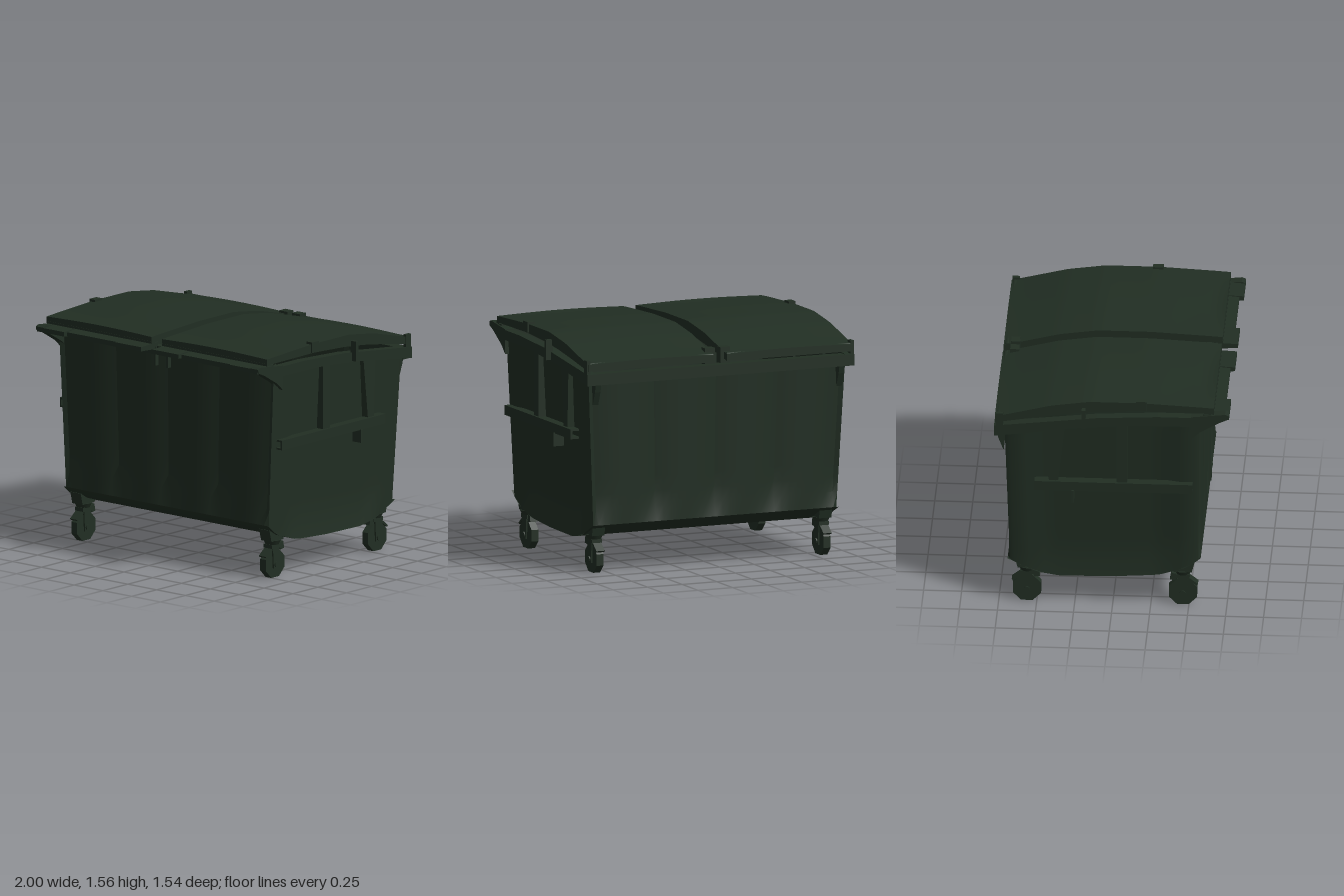
import * as THREE from 'three';
import { toCreasedNormals } from 'three/addons/utils/BufferGeometryUtils.js';

const green = new THREE.MeshStandardMaterial({ color: 0x212e23, side: THREE.DoubleSide });
green.name = 'dark green';

function add(parent, name, geo, x = 0, y = 0, z = 0) {
  const m = new THREE.Mesh(geo, green);
  m.name = name;
  m.position.set(x, y, z);
  parent.add(m);
  return m;
}

// Box given by its extents
function box(parent, name, x0, x1, y0, y1, z0, z1) {
  return add(parent, name, new THREE.BoxGeometry(Math.abs(x1 - x0), y1 - y0, Math.abs(z1 - z0)),
    (x0 + x1) / 2, (y0 + y1) / 2, (z0 + z1) / 2);
}

// Side outline of [z, y] points, extruded from x0 to x1
function slab(parent, name, pts, x0, x1) {
  const shape = new THREE.Shape(pts.map(([z, y]) => new THREE.Vector2(-z, y)));
  const geo = new THREE.ExtrudeGeometry(shape, { depth: Math.abs(x1 - x0), bevelEnabled: false });
  geo.rotateY(Math.PI / 2);
  return add(parent, name, geo, Math.min(x0, x1), 0, 0);
}

// Surface from a rule (u, v) -> [x, y, z]
function sheet(fn, nu, nv, crease = 0.5) {
  const geo = new THREE.PlaneGeometry(1, 1, nu, nv);
  const p = geo.attributes.position, uv = geo.attributes.uv;
  for (let i = 0; i < p.count; i++) p.setXYZ(i, ...fn(uv.getX(i), uv.getY(i)));
  return toCreasedNormals(geo, crease);
}

// Piecewise linear lookup; table sorted by falling z
function lookup(table, z) {
  for (let i = 1; i < table.length; i++) {
    const [za, ya] = table[i - 1], [zb, yb] = table[i];
    if (z >= zb) return ya + (yb - ya) * Math.max(0, (za - z) / (za - zb));
  }
  return table[table.length - 1][1];
}

const floorLine = [[0.58, 0.37], [0.5, 0.3], [0.3, 0.235], [0, 0.215], [-0.35, 0.21], [-0.5, 0.235], [-0.69, 0.33]];
const rimTop = [[0.62, 1.45], [0.3, 1.45], [-0.1, 1.43], [-0.5, 1.385], [-0.775, 1.355]];
const rimLow = [[0.62, 1.385], [0.1, 1.38], [-0.3, 1.345], [-0.6, 1.3], [-0.775, 1.28]];
const lidTop = [[0.67, 1.52], [0.6, 1.525], [0.2, 1.545], [-0.15, 1.545], [-0.4, 1.51], [-0.6, 1.46], [-0.7, 1.435], [-0.77, 1.42]];
const lidLow = [[0.67, 1.48], [0.2, 1.485], [-0.1, 1.47], [-0.3, 1.45], [-0.5, 1.42], [-0.77, 1.375]];
const halfWidth = y => 0.885 + (y - 0.25) * 0.05;
const frontZ = y => 0.58 + (y - 0.37) * 0.01;
const backZ = y => -0.69 - (y - 0.33) * 0.033;

function buildBody(root) {
  // Plan of the wall: [side -1..1, depth 0..1, dent in z, dent in x]
  const plan = [], n = 32, edge = 0.955;
  const flute = i => { const f = (i / 8) % 1; return 0.03 * (2 * f - 1) ** 2; };
  for (let i = 0; i <= n; i++) plan.push([(2 * i / n - 1) * edge, 1, -flute(i), 0]);
  plan.push([0.988, 0.988, 0, 0]);
  for (let i = 0; i <= 12; i++) plan.push([1, 0.965 - 0.93 * i / 12, 0, i > 1 && i < 11 ? 0.025 : 0]);
  plan.push([0.988, 0.012, 0, 0]);
  for (let i = 0; i <= n; i++) plan.push([(1 - 2 * i / n) * edge, 0, flute(i), 0]);
  plan.push([-0.988, 0.012, 0, 0]);
  for (let i = 0; i <= 12; i++) plan.push([-1, 0.035 + 0.93 * i / 12, 0, i > 1 && i < 11 ? -0.025 : 0]);
  plan.push([-0.988, 0.988, 0, 0], plan[0]);

  const wall = sheet((u, v) => {
    const [sx, d, dz, dx] = plan[Math.round(u * (plan.length - 1))];
    const z0 = -0.69 + 1.27 * d;
    const y = THREE.MathUtils.lerp(lookup(floorLine, z0), lookup(rimTop, z0) - 0.03, v);
    const fade = Math.min(1, v * 8);
    return [sx * halfWidth(y) - dx * fade, y, THREE.MathUtils.lerp(backZ(y), frontZ(y), d) + dz * fade];
  }, plan.length - 1, 10, 0.45);
  add(root, 'binWalls', wall);

  // Bowed floor
  add(root, 'binFloor', sheet((u, v) => {
    const z = -0.69 + 1.27 * v, y = lookup(floorLine, z);
    return [(2 * u - 1) * halfWidth(y), y, z];
  }, 1, 24));

  // Rim bars around the mouth
  box(root, 'frontRim', -0.95, 0.95, 1.39, 1.45, 0.56, 0.615);
  box(root, 'backRim', -0.955, 0.955, 1.28, 1.355, -0.775, -0.7);
  for (const s of [-1, 1]) {
    slab(root, 'sideRim', [...rimTop, ...[...rimLow].reverse()], s * 0.9, s * 0.965);
    slab(root, 'backGusset', [[-0.7, 1.29], [-0.765, 1.29], [-0.75, 1.23], [-0.715, 1.14]], s * 0.86, s * 0.9);
  }
}

function buildSideFittings(root, s) {
  const g = new THREE.Group();
  g.name = 'sideFittings';
  root.add(g);
  // Hollow lifting rail
  box(g, 'railTop', s * 0.9, s * 0.965, 0.938, 0.95, -0.51, 0.53);
  box(g, 'railBottom', s * 0.9, s * 0.965, 0.885, 0.897, -0.51, 0.53);
  box(g, 'railFace', s * 0.953, s * 0.965, 0.885, 0.95, -0.51, 0.53);
  box(g, 'railTab', s * 0.9, s * 0.975, 0.8, 0.89, -0.265, -0.25);
  // Struts between rail and rim
  slab(g, 'strut', [[0.1, 1.39], [0.03, 1.39], [0.03, 0.94], [0.1, 0.94]], s * 0.89, s * 0.95);
  slab(g, 'taperedStrut', [[-0.31, 1.35], [-0.43, 1.33], [-0.415, 0.94], [-0.355, 0.94]], s * 0.89, s * 0.945);
  // Stop plate and lid catch
  box(g, 'stopPlate', s * 0.95, s, 1.365, 1.5, -0.197, -0.172);
  box(g, 'lidCatch', s * 0.92, s * 0.968, 1.49, 1.56, 0.16, 0.23);
  // Corner nose below the lid
  slab(g, 'cornerNose', [[0.77, 1.47], [0.745, 1.48], [0.52, 1.455], [0.52, 1.29], [0.58, 1.345], [0.7, 1.415], [0.765, 1.445]],
    s * 0.9, s * 0.965);
}

function buildLid(root, s) {
  const g = new THREE.Group();
  g.name = 'lid';
  root.add(g);
  const x0 = 0.045, x1 = 0.957, nu = 16, nv = 30;
  // Crowned top with a shallow hollow behind the front lip, and a skirt on all edges
  const geo = sheet((u, v) => {
    const i = Math.round(u * nu), j = Math.round(v * nv);
    const a = THREE.MathUtils.clamp((i - 1) / (nu - 2), 0, 1);
    const b = THREE.MathUtils.clamp((j - 1) / (nv - 2), 0, 1);
    const z = 0.67 - 1.44 * b;
    const arch = Math.sin(Math.PI * a);
    const skirt = i === 0 || i === nu || j === 0 || j === nv;
    const hollow = z < 0.64 && z > 0.3 ? 0.014 * (z - 0.3) / 0.34 : 0;
    const y = skirt ? lookup(lidLow, z) : lookup(lidTop, z) + (0.01 - hollow) * arch;
    return [s * (x0 + (x1 - x0) * a), y, z];
  }, nu, nv, 0.6);
  add(g, 'lidShell', geo);
  box(g, 'lidLip', s * x0, s * x1, 1.475, 1.49, 0.635, 0.672);

  // Grip strip with thicker pads at both ends
  slab(g, 'gripStrip', [[0.74, 1.462], [0.6, 1.475], [0.6, 1.445], [0.74, 1.438]], s * 0.05, s * 0.955);
  slab(g, 'outerGrip', [[0.77, 1.468], [0.6, 1.476], [0.6, 1.42], [0.77, 1.438]], s * 0.72, s * 0.955);
  slab(g, 'innerGrip', [[0.77, 1.468], [0.6, 1.476], [0.6, 1.43], [0.77, 1.44]], s * 0.05, s * 0.275);
  box(g, 'gripHook', s * 0.045, s * 0.062, 1.32, 1.45, 0.6, 0.63);

  // Hinge rod and brackets
  const rod = add(g, 'hingeRod', new THREE.CylinderGeometry(0.025, 0.025, 0.9, 10), s * 0.5, 1.405, -0.745);
  rod.rotation.z = Math.PI / 2;
  box(g, 'innerHinge', s * 0.02, s * 0.09, 1.35, 1.46, -0.72, -0.66);
  box(g, 'outerHinge', s * 0.94, s * 0.965, 1.35, 1.445, -0.765, -0.715);
}

function buildCaster(root, x, z) {
  const g = new THREE.Group();
  g.name = 'caster';
  g.position.set(x, 0, z);
  root.add(g);
  const dir = Math.sign(z);
  const wheel = add(g, 'wheel', toCreasedNormals(new THREE.CylinderGeometry(0.1, 0.1, 0.05, 8), 0.3), 0, 0.094, 0);
  wheel.rotation.set(Math.PI / 8, 0, Math.PI / 2);
  const hub = add(g, 'axle', new THREE.CylinderGeometry(0.02, 0.02, 0.09, 8), 0, 0.09, 0);
  hub.rotation.z = Math.PI / 2;
  for (const s of [-1, 1])
    slab(g, 'forkLeg', [[0.035, 0.22], [-0.035, 0.22], [-0.025, 0.065], [0.025, 0.065]], s * 0.026, s * 0.036);
  box(g, 'forkCrown', -0.036, 0.036, 0.2, 0.225, -0.045, 0.045);
  add(g, 'swivel', new THREE.CylinderGeometry(0.06, 0.045, 0.03, 10), 0, 0.238, 0);
  slab(g, 'mount', [[0.06, 0.25], [0.08, 0.33], [-0.08, 0.33], [-0.06, 0.25]], -0.045, 0.045);
  // Brake lever outside, guard inside
  slab(g, 'brakeLever', [[dir * 0.03, 0.21], [dir * 0.1, 0.155], [dir * 0.092, 0.145], [dir * 0.02, 0.195]], -0.03, 0.03);
  slab(g, 'wheelGuard', [[-dir * 0.03, 0.225], [-dir * 0.075, 0.235], [-dir * 0.085, 0.185], [-dir * 0.05, 0.18]], -0.03, 0.03);
}

export function createModel() {
  const root = new THREE.Group();
  root.name = 'wheeledWasteBin';
  buildBody(root);
  for (const s of [-1, 1]) {
    buildSideFittings(root, s);
    buildLid(root, s);
    for (const z of [0.46, -0.565]) buildCaster(root, s * 0.82, z);
  }
  return root;
}
